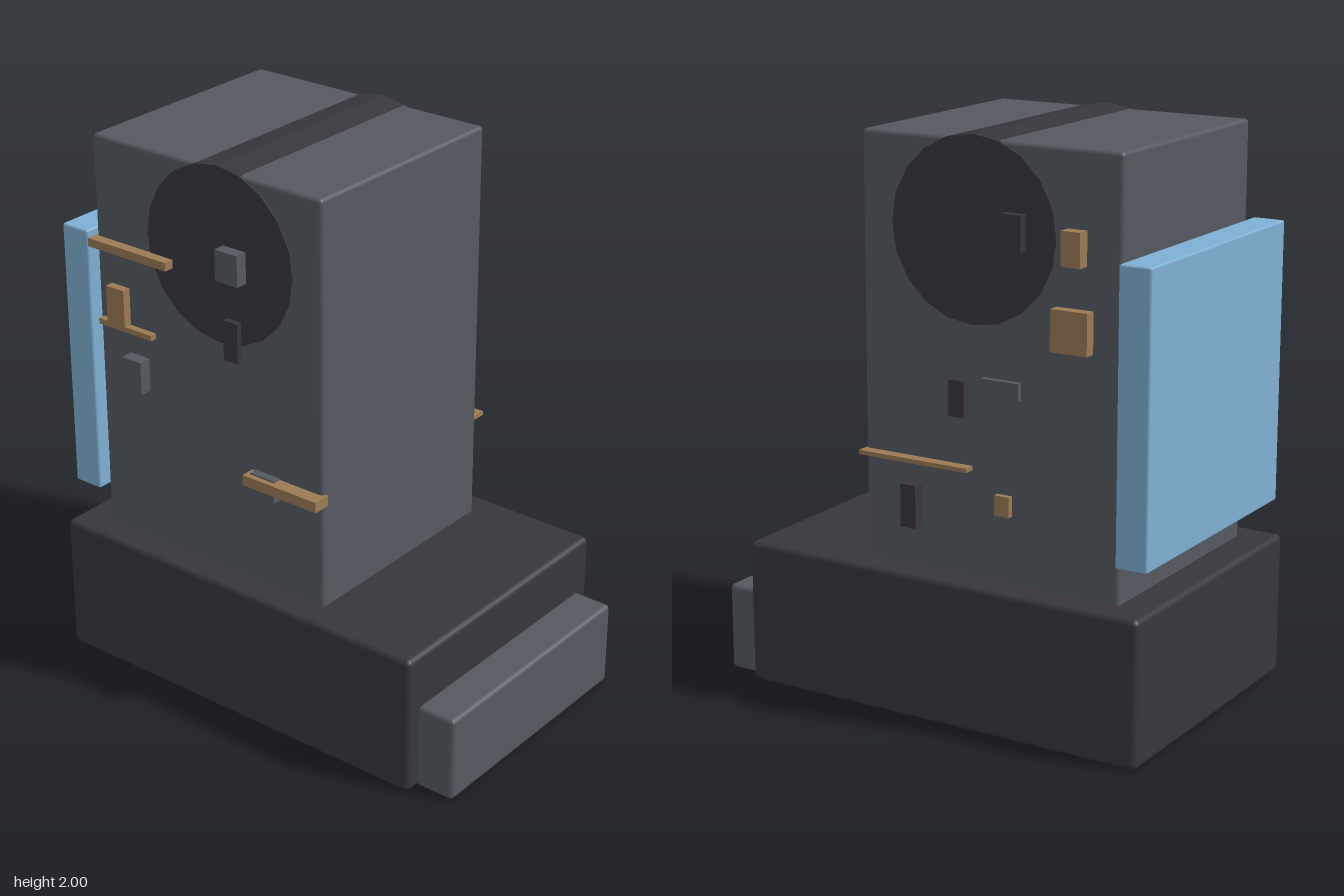
import * as THREE from 'three';
import { RoundedBoxGeometry } from 'three/addons/geometries/RoundedBoxGeometry.js';

const material = (name, color) => new THREE.MeshStandardMaterial({ name, color });

export function createModel() {
  const gray = material('slate gray', 0x555960);
  const dark = material('charcoal', 0x38363d);
  const blue = material('panel blue', 0x7fb0d4);
  const tan = material('bronze', 0x9a7a55);

  const model = new THREE.Group();
  model.name = 'machineTower';

  // Box given by its limits on each axis, with optional softened edges
  function box(parent, name, mat, [x0, x1], [y0, y1], [z0, z1], radius = 0) {
    const size = [x1 - x0, y1 - y0, z1 - z0];
    const geometry = radius
      ? new RoundedBoxGeometry(...size, 2, radius)
      : new THREE.BoxGeometry(...size);
    const mesh = new THREE.Mesh(geometry, mat);
    mesh.name = name;
    mesh.position.set((x0 + x1) / 2, (y0 + y1) / 2, (z0 + z1) / 2);
    parent.add(mesh);
    return mesh;
  }

  // Main masses
  box(model, 'base', dark, [-0.531, 0.531], [0.003, 0.515], [-0.84, 0.7], 0.02);
  box(model, 'frontStep', gray, [-0.472, 0.472], [0, 0.315], [0.58, 0.84], 0.016);
  box(model, 'tower', gray, [-0.434, 0.434], [0.48, 1.985], [-0.717, 0.263], 0.014);
  box(model, 'backPanel', blue, [-0.473, 0.473], [0.655, 1.645], [-0.84, -0.724], 0.008);

  // Faceted drum running across the tower, its ends just showing on both sides
  const drumGeometry = new THREE.CylinderGeometry(0.312, 0.312, 0.872, 20).toNonIndexed();
  drumGeometry.computeVertexNormals();
  const drum = new THREE.Mesh(drumGeometry, dark);
  drum.name = 'drum';
  drum.rotation.z = Math.PI / 2;
  drum.position.set(0, 1.688, -0.167);
  model.add(drum);

  // Small fittings: name, material, outer distance from centre, y limits, z limits
  const leftFittings = [
    ['drumBlock', dark, 0.466, [1.64, 1.76], [-0.365, -0.292]],
    ['upperBlock', tan, 0.48, [1.615, 1.73], [-0.59, -0.52]],
    ['largeBlock', tan, 0.475, [1.335, 1.475], [-0.615, -0.48]],
    ['flatBar', gray, 0.455, [1.15, 1.208], [-0.35, -0.21]],
    ['middleBlock', dark, 0.46, [1.065, 1.19], [-0.145, -0.085]],
    ['longRod', tan, 0.475, [0.885, 0.9], [-0.163, 0.265]],
    ['smallBlock', tan, 0.455, [0.75, 0.82], [-0.315, -0.26]],
    ['lowerBlock', dark, 0.48, [0.66, 0.81], [0.035, 0.095]],
  ];
  const rightFittings = [
    ['drumBlock', gray, 0.48, [1.62, 1.73], [-0.145, -0.05]],
    ['upperRod', tan, 0.473, [1.59, 1.62], [-0.722, -0.37]],
    ['middleBlock', dark, 0.457, [1.33, 1.475], [-0.135, -0.075]],
    ['uprightBlock', tan, 0.465, [1.325, 1.46], [-0.655, -0.575]],
    ['middleRod', tan, 0.46, [1.305, 1.325], [-0.7, -0.46]],
    ['lowerBlock', gray, 0.48, [1.1, 1.22], [-0.58, -0.495]],
    ['longRod', tan, 0.485, [0.905, 0.943], [-0.04, 0.275]],
    ['rodBracket', gray, 0.465, [0.865, 0.948], [-0.025, 0.08]],
  ];
  const sides = [['leftFittings', 1, leftFittings], ['rightFittings', -1, rightFittings]];
  for (const [groupName, sign, fittings] of sides) {
    const group = new THREE.Group();
    group.name = groupName;
    for (const [name, mat, reach, y, z] of fittings) {
      box(group, name, mat, sign > 0 ? [0.42, reach] : [-reach, -0.42], y, z);
    }
    model.add(group);
  }

  return model;
}
